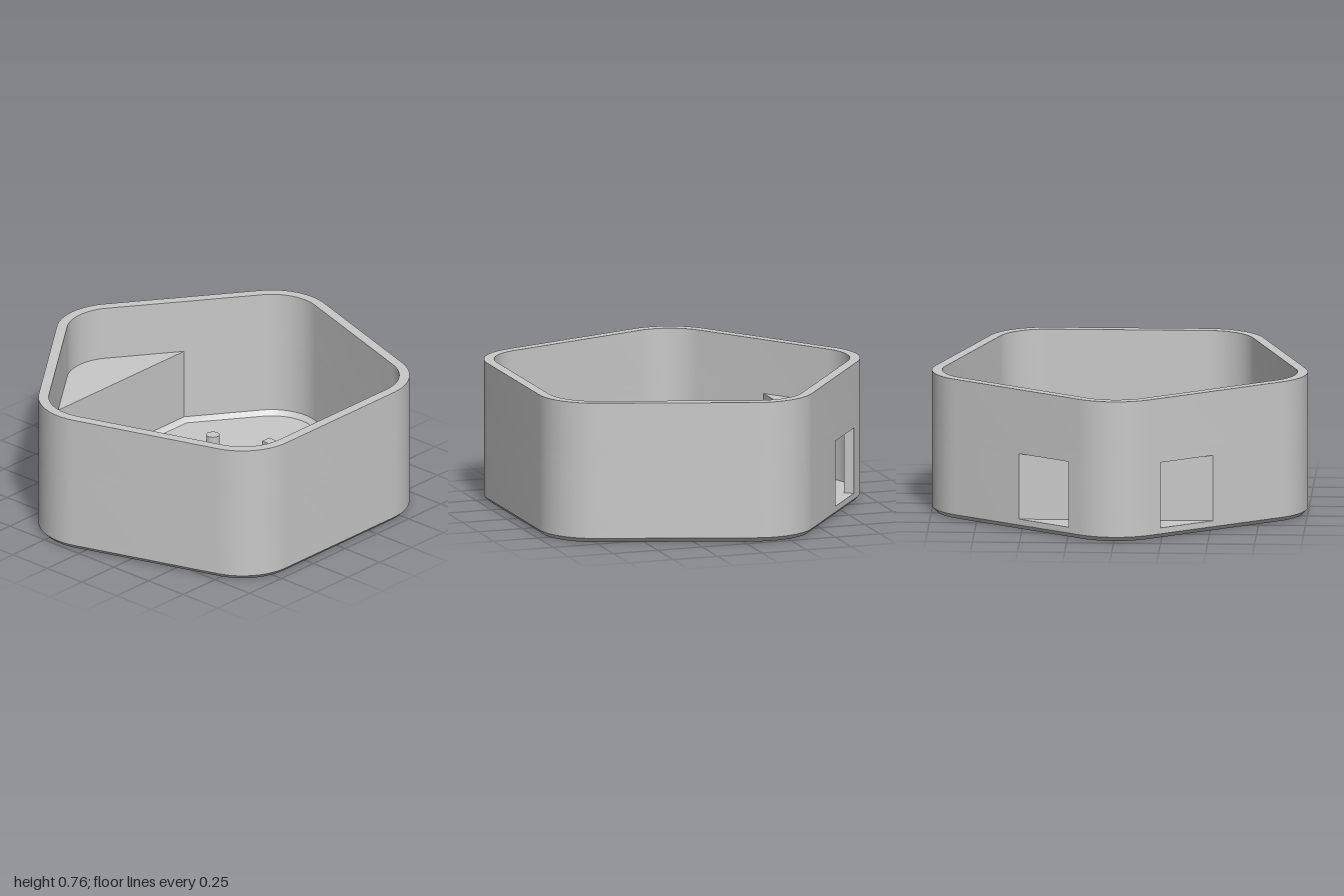
import * as THREE from 'three';
import { toCreasedNormals } from 'three/addons/utils/BufferGeometryUtils.js';

// Rounded pentagon: centre, apothem, corner radius
const CZ = 0.067, APOTHEM = 0.898, RADIUS = 0.318, WALL = 0.055;
const CORNER = (APOTHEM - RADIUS) / Math.cos(Math.PI / 5);
const HALF = Math.PI / 5, SEG = 18;
// Heights
const BEVEL = 0.025, FLOOR = 0.057, SLOT_TOP = 0.412, SHELF = 0.467, TOP = 0.76;
const FACE_TOP = 0.205;
// Divider faces
const DIV_FRONT = -0.616, DIV_BACK = -0.668;

// Points are Vector2(x, z), running from the back corner towards +x
function arc(k, r) {
  const a0 = k * 2 * HALF;
  return Array.from({ length: SEG + 1 }, (_, i) => {
    const a = a0 - HALF + (2 * HALF * i) / SEG;
    return new THREE.Vector2(
      CORNER * Math.sin(a0) + r * Math.sin(a),
      CZ - CORNER * Math.cos(a0) - r * Math.cos(a));
  });
}

const outline = (inset) => [0, 1, 2, 3, 4].flatMap((k) => arc(k, RADIUS - inset));

// Keeps the part of a loop in front of a z plane
function clip(points, z) {
  const out = [];
  points.forEach((p, i) => {
    const q = points[(i + 1) % points.length];
    if (p.y >= z) out.push(p);
    if ((p.y >= z) !== (q.y >= z)) out.push(p.clone().lerp(q, (z - p.y) / (q.y - p.y)));
  });
  return out;
}

// Upright prism from a plan outline, with an optional hole wound the other way
function prism(points, y0, y1, hole) {
  const flip = (list) => list.map((p) => new THREE.Vector2(p.x, -p.y));
  const shape = new THREE.Shape(flip(points));
  if (hole) shape.holes.push(new THREE.Path(flip(hole).reverse()));
  const g = new THREE.ExtrudeGeometry(shape, { depth: y1 - y0, bevelEnabled: false });
  g.rotateX(-Math.PI / 2).translate(0, y0, 0);
  return toCreasedNormals(g, 0.5);
}

// Sloped band between two loops, optionally closed below the first one
function band(a, ya, b, yb, cap) {
  const pos = [], n = a.length;
  const put = (p, y) => pos.push(p.x, y, p.y);
  for (let i = 0; i < n; i++) {
    const j = (i + 1) % n;
    put(a[i], ya); put(b[i], yb); put(a[j], ya);
    put(a[j], ya); put(b[i], yb); put(b[j], yb);
    if (cap) { pos.push(0, ya, 0); put(a[i], ya); put(a[j], ya); }
  }
  const g = new THREE.BufferGeometry();
  g.setAttribute('position', new THREE.Float32BufferAttribute(pos, 3));
  return toCreasedNormals(g, 0.5);
}

export function createModel() {
  const model = new THREE.Group();
  model.name = 'pentagonBox';
  const grey = new THREE.MeshStandardMaterial({ color: 0xc8c8c8 });
  grey.name = 'grey';
  const add = (name, geometry) => {
    const mesh = new THREE.Mesh(geometry, grey);
    mesh.name = name;
    model.add(mesh);
    return mesh;
  };

  const outer = outline(0), inner = outline(WALL);
  const basin = clip(inner, DIV_FRONT);

  // Base with bevelled underside
  add('baseBevel', band(outline(BEVEL), 0, outer, BEVEL, true));
  add('floor', prism(outer, BEVEL, FLOOR));
  add('floorBevel', band(basin, FLOOR + BEVEL,
    clip(outline(WALL + BEVEL), DIV_FRONT + BEVEL), FLOOR));

  // Walls and divider, open behind the divider for the side slots
  add('lowerWallAndDivider', prism(clip(outer, DIV_BACK), FLOOR, SLOT_TOP, basin));

  // Back corner post between the two slots
  const extend = (r) => {
    const pts = arc(0, r), s = 0.07;
    const dx = s * Math.cos(HALF), dz = s * Math.sin(HALF);
    const first = pts[0], last = pts[SEG];
    return [new THREE.Vector2(first.x - dx, first.y + dz), ...pts,
      new THREE.Vector2(last.x + dx, last.y + dz)];
  };
  add('backCornerPost', prism(
    [...extend(RADIUS), ...extend(RADIUS - WALL).reverse()], FLOOR, SLOT_TOP));

  // Shelf over the rear compartment, then the open upper wall
  add('shelf', prism(outer, SLOT_TOP, SHELF, basin));
  add('upperWall', prism(outer, SHELF, TOP, inner));

  // Raised smile
  const halfRing = (r) => Array.from({ length: 41 }, (_, i) => {
    const a = (Math.PI * i) / 40;
    return new THREE.Vector2(r * Math.cos(a), CZ + r * Math.sin(a));
  });
  add('smile', prism([...halfRing(0.42), ...halfRing(0.365).reverse()], FLOOR, FACE_TOP));

  // Eye pegs
  const pegHeight = FACE_TOP - FLOOR;
  for (const side of [-1, 1]) {
    add(side > 0 ? 'leftEyePeg' : 'rightEyePeg',
      new THREE.CylinderGeometry(0.035, 0.035, pegHeight, 32))
      .position.set(side * 0.247, FLOOR + pegHeight / 2, -0.18);
  }
  return model;
}
